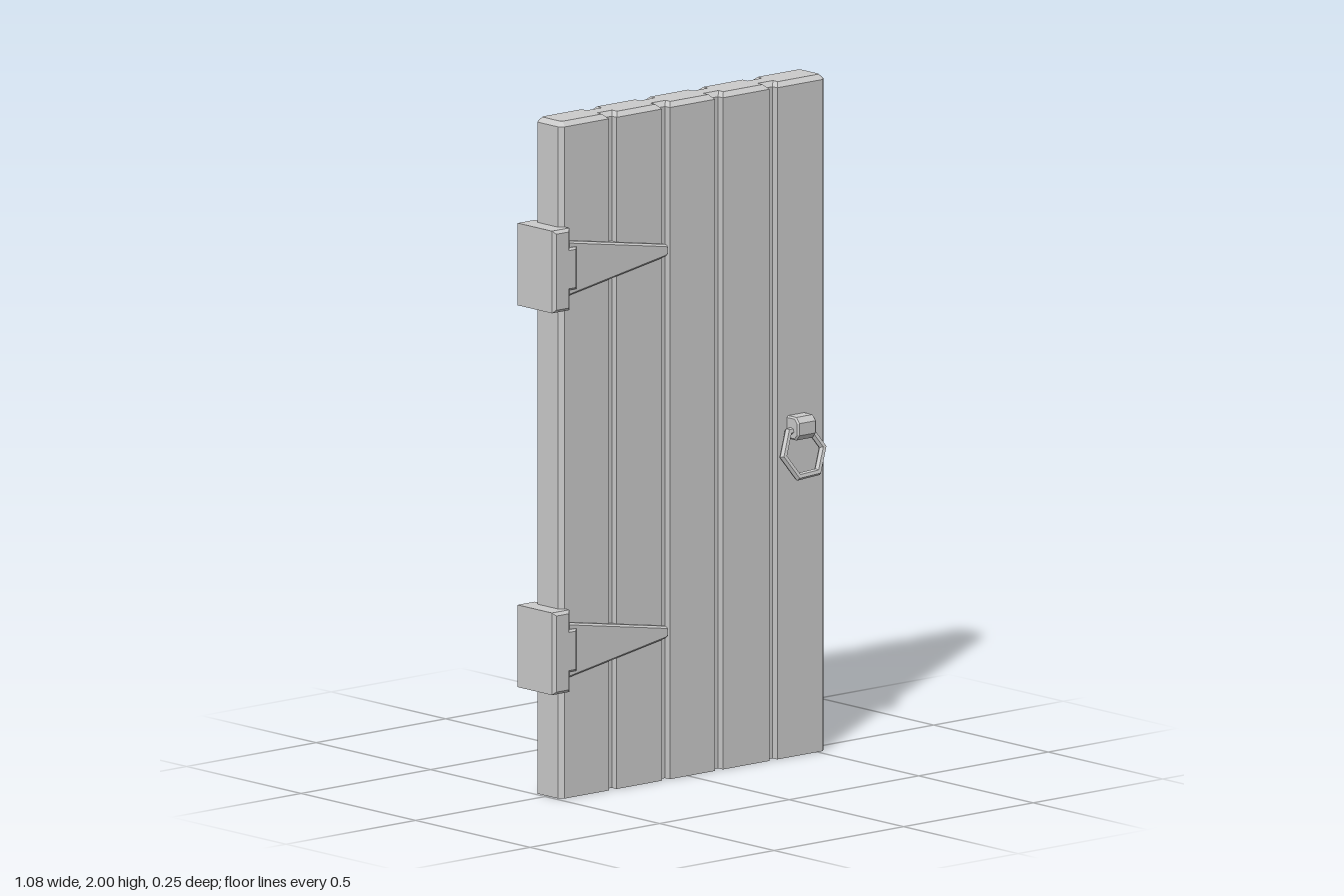
import * as THREE from 'three';

const material = new THREE.MeshStandardMaterial({ color: 0xcccccc, flatShading: true });

function addMesh(parent, name, geometry, x = 0, y = 0, z = 0) {
  const mesh = new THREE.Mesh(geometry, material);
  mesh.name = name;
  mesh.position.set(x, y, z);
  parent.add(mesh);
  return mesh;
}

// Extrudes an outline along z, centred, with chamfered edges that stay inside the outline
function slab(points, depth, bevel) {
  const shape = new THREE.Shape(points.map(([x, y]) => new THREE.Vector2(x, y)));
  const geometry = new THREE.ExtrudeGeometry(shape, {
    depth: depth - 2 * bevel, bevelThickness: bevel, bevelSize: bevel,
    bevelOffset: -bevel, bevelSegments: 1, steps: 1,
  });
  return geometry.translate(0, 0, bevel - depth / 2);
}

const rect = (w, h) => [[-w / 2, -h / 2], [w / 2, -h / 2], [w / 2, h / 2], [-w / 2, h / 2]];

// Planked door leaf: plan outline with grooves on both faces, chamfered top, flat bottom
function doorGeometry() {
  const left = -0.49, right = 0.535, half = 0.058, chamfer = 0.014;
  const grooveDepth = 0.021, grooveWidth = 0.03, bevel = 0.014;
  const grooves = [-0.29, -0.085, 0.12, 0.33];
  const side = [[left, half - chamfer], [left + chamfer, half]];
  for (const g of grooves) {
    const a = g - grooveWidth / 2, b = g + grooveWidth / 2;
    side.push([a, half], [a, half - grooveDepth], [b, half - grooveDepth], [b, half]);
  }
  side.push([right - chamfer, half], [right, half - chamfer]);
  const outline = [...side, ...side.map(([x, z]) => [x, -z]).reverse()];
  const shape = new THREE.Shape(outline.map(([x, z]) => new THREE.Vector2(x, z)));
  const geometry = new THREE.ExtrudeGeometry(shape, {
    depth: 2 - bevel, bevelThickness: bevel, bevelSize: bevel,
    bevelOffset: -bevel, bevelSegments: 1, steps: 1,
  });
  // Flatten the lower chamfer into the bottom face
  const p = geometry.attributes.position;
  for (let i = 0; i < p.count; i++) p.setZ(i, Math.max(0, p.getZ(i)));
  geometry.rotateX(-Math.PI / 2);
  geometry.computeVertexNormals();
  return geometry;
}

// Hinge: block wrapping the door edge, with a tapered strap on each face
function hinge(y) {
  const group = new THREE.Group();
  group.name = 'hinge';
  group.position.y = y;
  addMesh(group, 'hingeBlock', slab(rect(0.067, 0.243), 0.168, 0.009), -0.5065);
  const strap = [
    [-0.485, -0.084], [-0.465, -0.081], [-0.092, -0.018], [-0.083, -0.011],
    [-0.083, 0.011], [-0.092, 0.018], [-0.465, 0.081], [-0.485, 0.084],
  ];
  for (const s of [1, -1]) {
    addMesh(group, 'hingeStrap', slab(strap, 0.036, 0.006), 0, 0, s * 0.053);
    addMesh(group, 'strapShoulder', slab(rect(0.04, 0.125), 0.036, 0.006), -0.466, 0, s * 0.063);
  }
  return group;
}

// Ring handle: a mount through the door and a tilted six-sided ring on each face
function handle() {
  const group = new THREE.Group();
  group.name = 'handle';
  group.position.set(0.418, 0.977, 0);
  const profile = [
    [-0.108, -0.018], [-0.094, -0.034], [0.094, -0.034], [0.108, -0.018],
    [0.108, 0.018], [0.094, 0.034], [-0.094, 0.034], [-0.108, 0.018],
  ];
  addMesh(group, 'handleMount', slab(profile, 0.072, 0.005).rotateY(Math.PI / 2));
  for (const s of [1, -1]) {
    const geometry = new THREE.TorusGeometry(0.077, 0.012, 6, 6).rotateZ(0.05);
    const ring = addMesh(group, 'handleRing', geometry, -0.006, -0.071, s * 0.094);
    ring.rotation.x = -s * 0.26;
  }
  return group;
}

export function createModel() {
  const model = new THREE.Group();
  model.name = 'door';
  addMesh(model, 'plankLeaf', doorGeometry());
  for (const y of [0.439, 1.568]) model.add(hinge(y));
  model.add(handle());
  return model;
}
